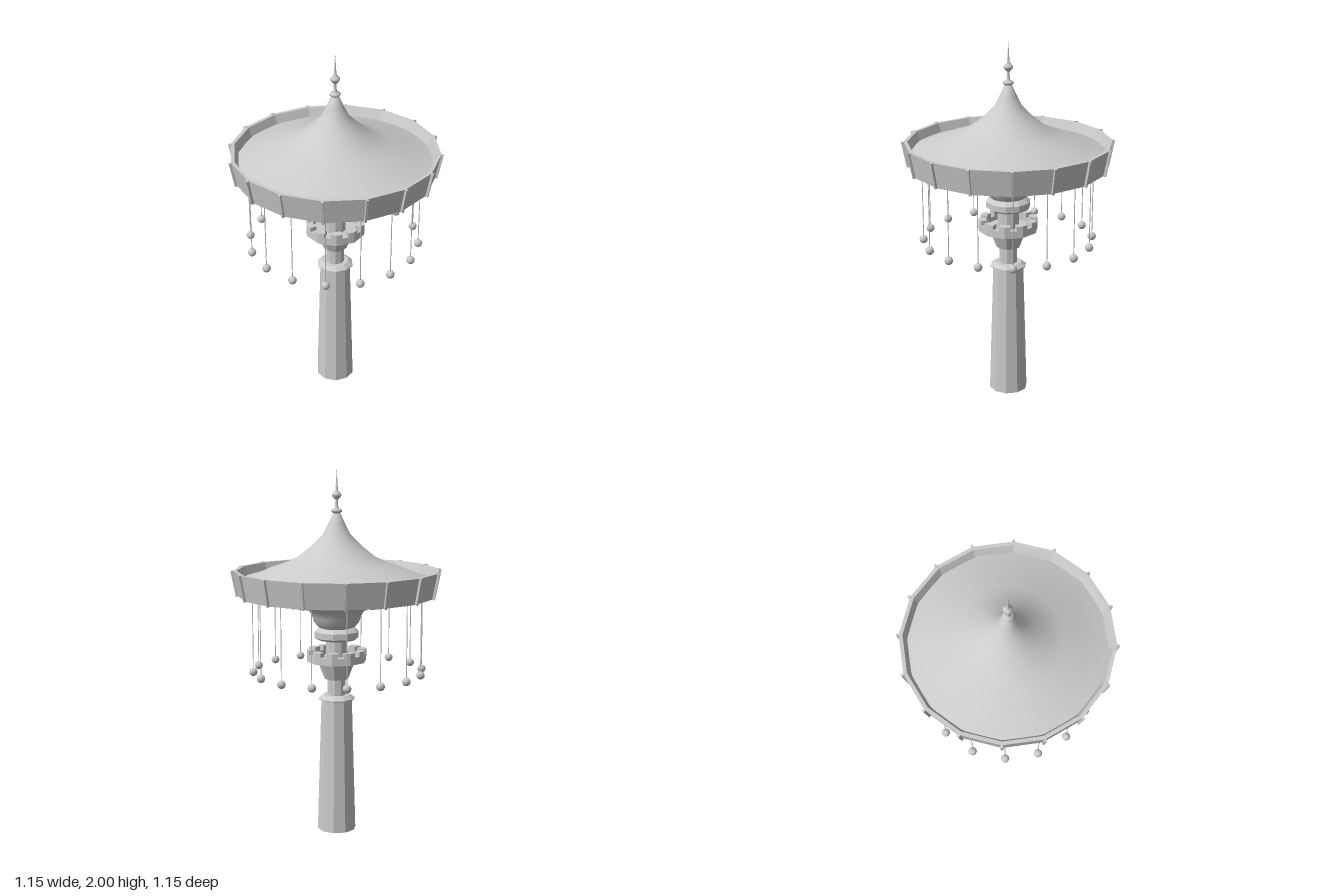
import * as THREE from 'three';

const flat = new THREE.MeshStandardMaterial({ color: 0xcccccc, flatShading: true });
const smooth = new THREE.MeshStandardMaterial({ color: 0xcccccc });

export function createModel() {
  const model = new THREE.Group();
  model.name = 'swingRide';

  const add = (name, geometry, material = flat, parent = model) => {
    const mesh = new THREE.Mesh(geometry, material);
    mesh.name = name;
    parent.add(mesh);
    return mesh;
  };
  // Turned part from [radius, height] pairs, running upward on the outside
  const turn = (name, profile, sides, material = flat) =>
    add(name, new THREE.LatheGeometry(profile.map(([r, y]) => new THREE.Vector2(r, y)), sides), material);

  // Ten-sided tapering tower with its cap, neck and flared bracket
  turn('tower', [[0, 0], [0.107, 0], [0.085, 0.745]], 10);
  turn('towerCap', [[0.085, 0.74], [0.1, 0.745], [0.1, 0.752], [0.075, 0.77], [0, 0.77]], 10);
  turn('neck', [[0.05, 0.76], [0.05, 0.87]], 10);
  turn('bracket', [[0, 0.86], [0.066, 0.86], [0.107, 0.965]], 10);

  // Gallery ring with battlements on its corners
  turn('gallery', [[0.1, 0.96], [0.165, 0.96], [0.165, 1.0], [0.125, 1.0], [0.125, 0.975], [0.05, 0.975]], 10);
  const battlements = new THREE.Group();
  battlements.name = 'battlements';
  model.add(battlements);
  const corner = (r, a) => [r * Math.sin(a), r * Math.cos(a)];
  const step = Math.PI / 5;
  const merlon = new THREE.Shape();
  const half = 0.2, edge = Math.cos(step / 2) / Math.cos(step / 2 - half);
  [[0.165 * edge, -half], [0.165, 0], [0.165 * edge, half], [0.125 * edge, half], [0.125, 0], [0.125 * edge, -half]]
    .forEach(([r, a], i) => i ? merlon.lineTo(...corner(r, a)) : merlon.moveTo(...corner(r, a)));
  const merlonGeometry = new THREE.ExtrudeGeometry(merlon, { depth: 0.027, bevelEnabled: false });
  merlonGeometry.rotateX(-Math.PI / 2);
  for (let i = 0; i < 10; i++) {
    const m = add('merlon', merlonGeometry, flat, battlements);
    m.position.y = 0.998;
    m.rotation.y = i * step;
  }

  // Shaft and collar under the canopy
  turn('shaft', [[0.06, 0.97], [0.06, 1.09]], 10);
  turn('collar', [[0.05, 1.08], [0.105, 1.08], [0.122, 1.092], [0.122, 1.125], [0.1, 1.143], [0, 1.143]], 10);

  // Canopy: bowl underneath, sixteen-sided rim, sweeping roof
  turn('canopyBowl', [[0.07, 1.14], [0.1, 1.15], [0.122, 1.175], [0.132, 1.205], [0.147, 1.235],
    [0.175, 1.262], [0.225, 1.28], [0.32, 1.29], [0.43, 1.303], [0.53, 1.322]], 32, smooth);
  turn('canopyRim', [[0.515, 1.319], [0.533, 1.322], [0.56, 1.46], [0.54, 1.46], [0.515, 1.4]], 16);
  turn('roof', [[0.518, 1.412], [0.44, 1.435], [0.37, 1.465], [0.285, 1.495], [0.21, 1.53], [0.135, 1.59],
    [0.075, 1.65], [0.045, 1.71], [0.02, 1.765], [0, 1.775]], 32, smooth);

  // Ribs on the rim corners
  const ribs = new THREE.Group();
  ribs.name = 'rimRibs';
  model.add(ribs);
  const tilt = Math.atan2(0.027, 0.138);
  const ribGeometry = new THREE.BoxGeometry(0.012, 0.143, 0.02);
  ribGeometry.rotateX(tilt);
  ribGeometry.translate(0, 1.391, 0.549);
  for (let i = 0; i < 16; i++) add('rimRib', ribGeometry, flat, ribs).rotation.y = i * Math.PI / 8;

  // Finial: disc, stem, bead and spike
  turn('finial', [[0.012, 1.76], [0.028, 1.773], [0.03, 1.78], [0.024, 1.787], [0.009, 1.793], [0.007, 1.835],
    [0.016, 1.845], [0.026, 1.858], [0.026, 1.866], [0.016, 1.877], [0.007, 1.888], [0.005, 1.92], [0, 2]], 12, smooth);

  // Hanging lamps: a thin cord and a ball
  const lamps = new THREE.Group();
  lamps.name = 'hangingLamps';
  lamps.position.set(-0.006, 0, -0.004);
  model.add(lamps);
  const cord = new THREE.CylinderGeometry(0.0025, 0.0025, 0.4, 5);
  const ball = new THREE.SphereGeometry(0.023, 10, 8);
  for (let i = 0; i < 16; i++) {
    const lamp = new THREE.Group();
    lamp.name = 'lamp';
    const [x, z] = corner(0.464, i * Math.PI / 8 + 0.02);
    lamp.position.set(x, 0.906, z);
    add('cord', cord, smooth, lamp).position.y = 0.205;
    add('ball', ball, smooth, lamp);
    lamps.add(lamp);
  }
  return model;
}
